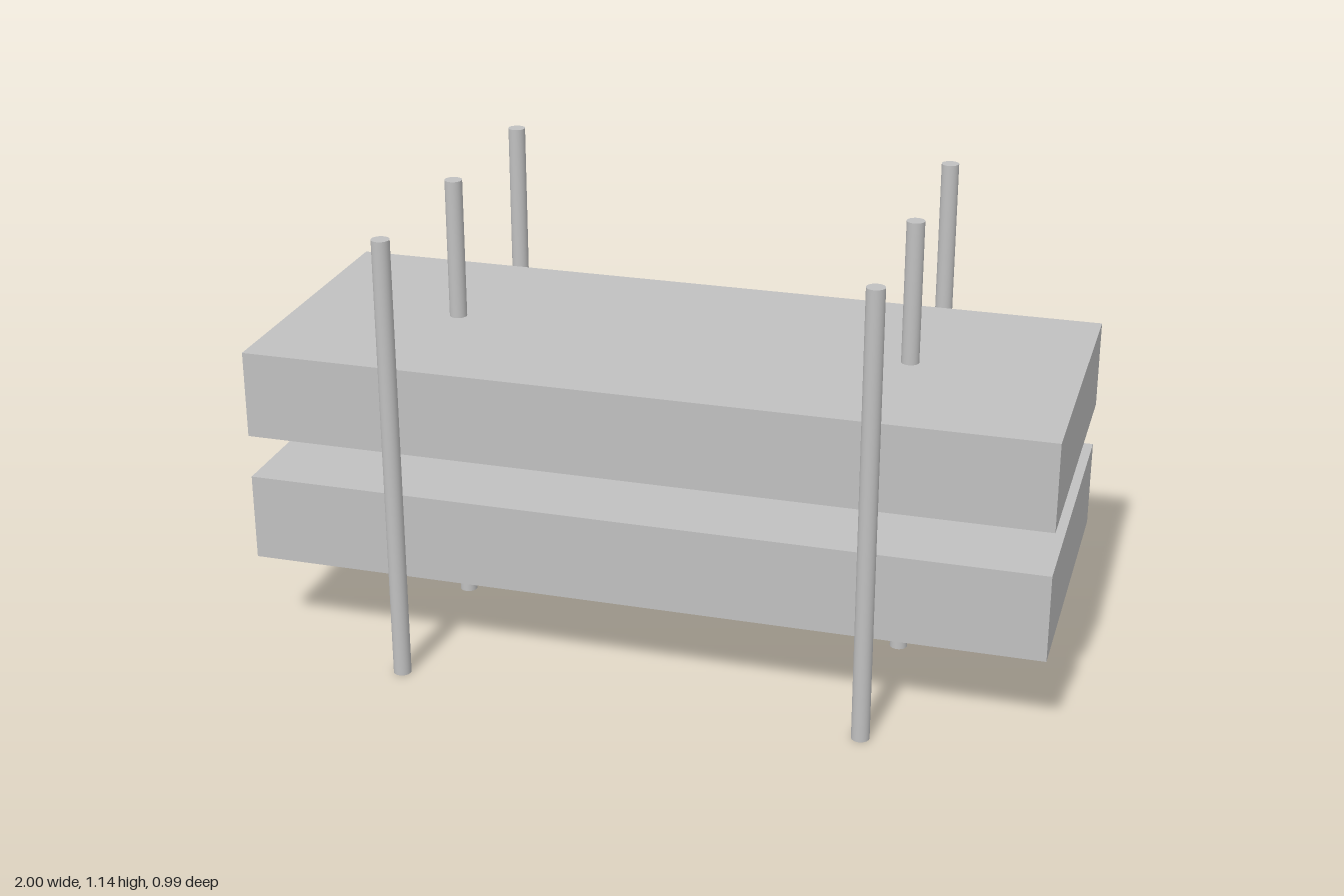
import * as THREE from 'three';

export function createModel() {
  const model = new THREE.Group();
  const grey = new THREE.MeshStandardMaterial({ color: 0xc0c0c0 });
  grey.name = 'light grey';

  // Two stacked slabs with a gap between them
  const slabGeometry = new THREE.BoxGeometry(2, 0.222, 0.778);
  [['lowerSlab', 0.335], ['upperSlab', 0.668]].forEach(([name, y]) => {
    const slab = new THREE.Mesh(slabGeometry, grey);
    slab.name = name;
    slab.position.y = y;
    model.add(slab);
  });

  // Six upright rods: front, middle (through the slabs) and back, on each side
  const height = 1.139;
  const rodGeometry = new THREE.CylinderGeometry(0.0222, 0.0222, height, 24);
  const rows = [['front', 0.472], ['middle', 0], ['back', -0.472]];
  for (const [side, x] of [['Left', 0.583], ['Right', -0.583]]) {
    for (const [row, z] of rows) {
      const rod = new THREE.Mesh(rodGeometry, grey);
      rod.name = `${row}${side}Rod`;
      rod.position.set(x, height / 2, z);
      model.add(rod);
    }
  }
  return model;
}
